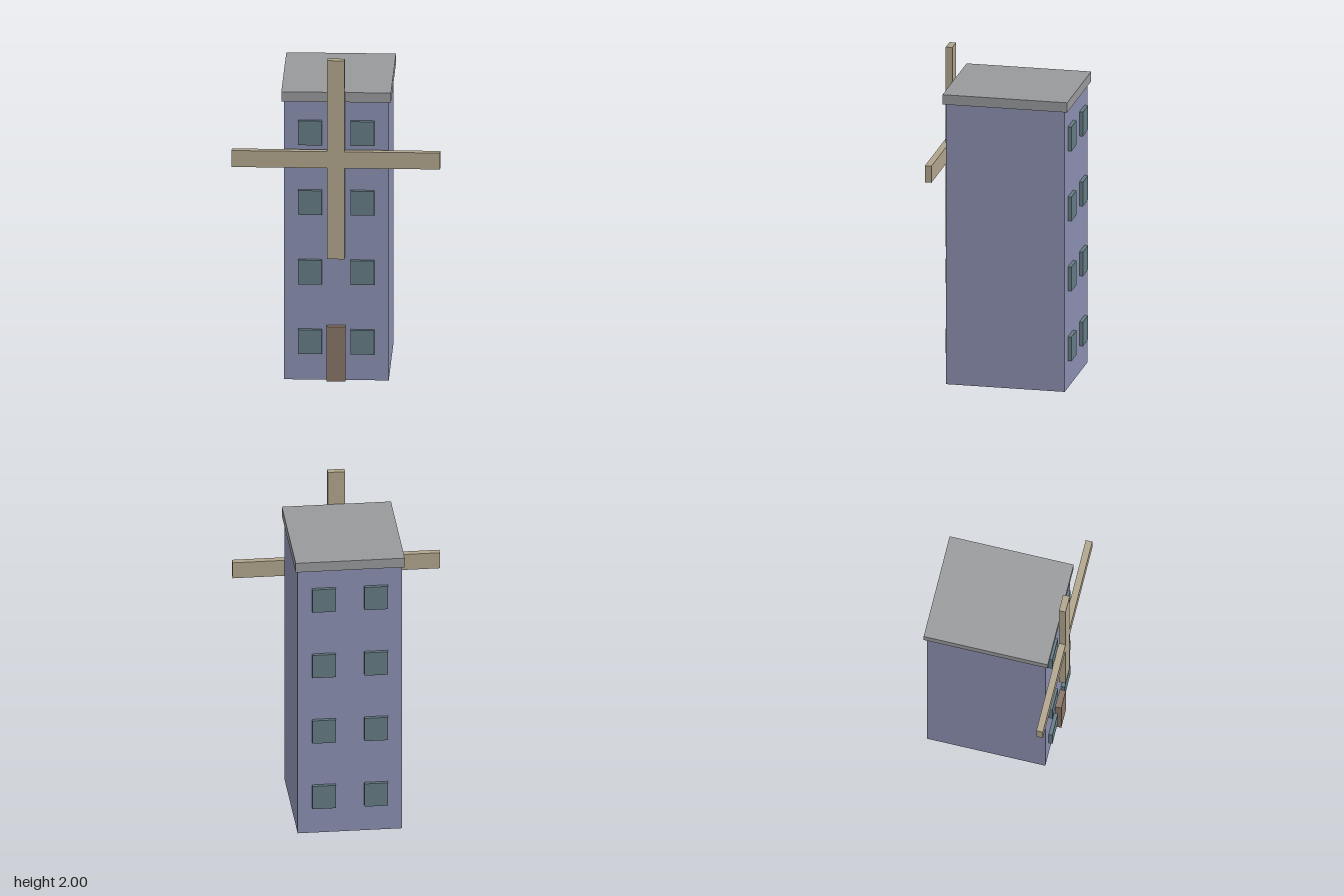
import * as THREE from 'three';

const paint = (name, color) => {
  const m = new THREE.MeshStandardMaterial({ color });
  m.name = name;
  return m;
};

export function createModel() {
  const model = new THREE.Group();
  model.name = 'windmillTower';

  const wall = paint('wallBlue', 0x8b8fb0);
  const roofGrey = paint('roofGrey', 0x98999b);
  const glass = paint('windowTeal', 0x647b83);
  const wood = paint('doorBrown', 0x897467);
  const timber = paint('sailTan', 0xb0a48c);

  const add = (name, geometry, material, x, y, z) => {
    const mesh = new THREE.Mesh(geometry, material);
    mesh.name = name;
    mesh.position.set(x, y, z);
    model.add(mesh);
    return mesh;
  };

  // Tower and overhanging flat roof
  const midZ = -0.019, width = 0.62, depth = 0.718, height = 1.73;
  add('tower', new THREE.BoxGeometry(width, height, depth), wall, 0, height / 2, midZ);
  add('roof', new THREE.BoxGeometry(0.648, 0.06, 0.754), roofGrey, 0, 1.76, midZ);

  // Door on the front wall
  add('door', new THREE.BoxGeometry(0.112, 0.34, 0.07), wood, 0, 0.17, 0.34);

  // Four floors of windows, two each on front and back
  const pane = new THREE.BoxGeometry(0.14, 0.15, 0.044);
  for (let floor = 0; floor < 4; floor++) {
    for (const sx of [-1, 1]) {
      for (const sz of [-1, 1]) {
        add(sz > 0 ? 'frontWindow' : 'backWindow', pane, glass,
          sx * 0.155, 0.24 + floor * 0.432, midZ + sz * depth / 2);
      }
    }
  }

  // Four-armed sail cross
  const r = 0.616, h = 0.051;
  const cross = new THREE.Shape([
    [h, h], [h, r], [-h, r], [-h, h], [-r, h], [-r, -h],
    [-h, -h], [-h, -r], [h, -r], [h, -h], [r, -h], [r, h],
  ].map(([x, y]) => new THREE.Vector2(x, y)));
  add('sails', new THREE.ExtrudeGeometry(cross, { depth: 0.04, bevelEnabled: false }),
    timber, 0, 1.384, 0.36);

  return model;
}
